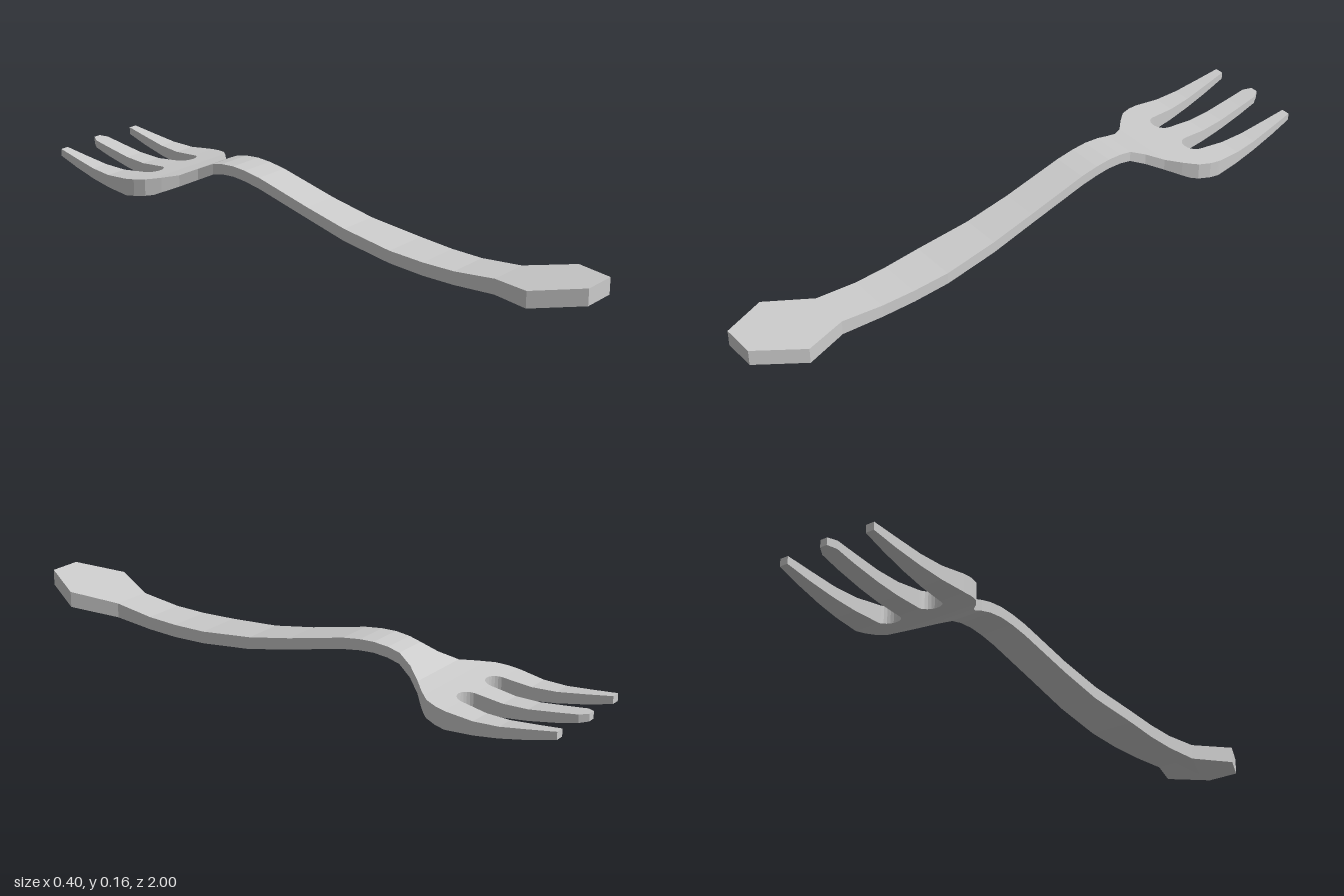
import * as THREE from 'three';

// Side profile along the length: [z, top, bottom]
const PROFILE = [
  [1, 0.11, 0.058], [0.85, 0.085, 0.033], [0.7, 0.06, 0.012], [0.56, 0.045, 0.003], [0.45, 0.044, 0.003],
  [0.33, 0.05, 0.011], [0.15, 0.07, 0.031], [0, 0.1, 0.064], [-0.1, 0.124, 0.088],
  [-0.2, 0.148, 0.112], [-0.26, 0.157, 0.122], [-0.31, 0.16, 0.126], [-0.36, 0.156, 0.122],
  [-0.4, 0.147, 0.112], [-0.45, 0.124, 0.087], [-0.5, 0.1, 0.062], [-0.56, 0.09, 0.035],
  [-0.65, 0.078, 0.022], [-0.74, 0.068, 0.026], [-0.82, 0.071, 0.036], [-0.91, 0.084, 0.053], [-1, 0.098, 0.075],
];

// Linear lookup in rows sorted by falling z
function sample(rows, z) {
  let i = 0;
  while (i < rows.length - 2 && z < rows[i + 1][0]) i++;
  const a = rows[i], b = rows[i + 1];
  const t = THREE.MathUtils.clamp((a[0] - z) / (a[0] - b[0]), 0, 1);
  return a.map((v, k) => v + (b[k] - v) * t);
}

// Curved slab from plan rows [z, xMin, xMax], following the side profile
function slab(name, rows, material, capStart, capEnd, keel = () => 0) {
  const z0 = rows[0][0], z1 = rows[rows.length - 1][0];
  const zs = [...new Set([...rows, ...PROFILE].map((r) => r[0]))]
    .filter((z) => z <= z0 && z >= z1).sort((a, b) => b - a);
  const sections = zs.map((z) => {
    const [, l, r] = sample(rows, z), [, top, bottom] = sample(PROFILE, z);
    return [[l, top, z], [r, top, z], [r, bottom, z], [(l + r) / 2, bottom - keel(z), z], [l, bottom, z]];
  });
  const n = 5, index = [];
  for (let s = 0; s < sections.length - 1; s++) {
    for (let k = 0; k < n; k++) {
      const a = s * n + k, b = s * n + (k + 1) % n;
      index.push(a, b, b + n, a, b + n, a + n);
    }
  }
  const last = (sections.length - 1) * n;
  for (let k = 1; k < n - 1; k++) {
    if (capStart) index.push(0, k + 1, k);
    if (capEnd) index.push(last, last + k, last + k + 1);
  }
  const geometry = new THREE.BufferGeometry();
  geometry.setAttribute('position', new THREE.Float32BufferAttribute(sections.flat(2), 3));
  geometry.setIndex(index);
  const flat = geometry.toNonIndexed();
  flat.computeVertexNormals();
  const mesh = new THREE.Mesh(flat, material);
  mesh.name = name;
  return mesh;
}

export function createModel() {
  const group = new THREE.Group();
  group.name = 'fork';
  const material = new THREE.MeshStandardMaterial({ color: 0xcccccc, flatShading: true });

  // Handle with its pointed end, widening into the shoulders
  const ROOT = -0.618;
  const handle = [
    [1, 0.053], [0.85, 0.128], [0.7, 0.065], [0.56, 0.067], [0.33, 0.074], [0.15, 0.065], [0, 0.06],
    [-0.31, 0.057], [-0.4, 0.055], [-0.45, 0.072], [-0.5, 0.107], [-0.54, 0.147], [-0.58, 0.181], [ROOT, 0.194],
  ].map(([z, w]) => [z, -w, w]);
  // Shallow keel under the pointed end
  const keel = (z) => 0.015 * Math.max(0, 1 - Math.abs(z - 0.85) / 0.15);
  group.add(slab('handle', handle, material, true, false, keel));

  // Rounded roots of the two slots: [z, half width of slot]
  const R = 0.037, MID = 0.075, arc = [];
  for (let i = 0; i <= 6; i++) {
    const a = (i / 6) * Math.PI / 2;
    arc.push([ROOT - R + R * Math.cos(a), R * Math.sin(a)]);
  }
  arc[0][0] = ROOT;

  // Middle tine with a narrowed tip
  const middle = arc.map(([z, w]) => [z, -(MID - w), MID - w]);
  middle.push([-0.975, -0.027, 0.027], [-1, -0.012, 0.012]);
  group.add(slab('middleTine', middle, material, false, true));

  // Outer tines, mirrored
  const outer = arc.map(([z, w]) => [z, MID + w, z > -0.65 ? 0.194 + (ROOT - z) * 0.12 : 0.198]);
  outer.push([-0.8, 0.125, 0.186], [-0.99, 0.141, 0.169]);
  group.add(slab('leftTine', outer, material, false, true));
  group.add(slab('rightTine', outer.map(([z, a, b]) => [z, -b, -a]), material, false, true));
  return group;
}
